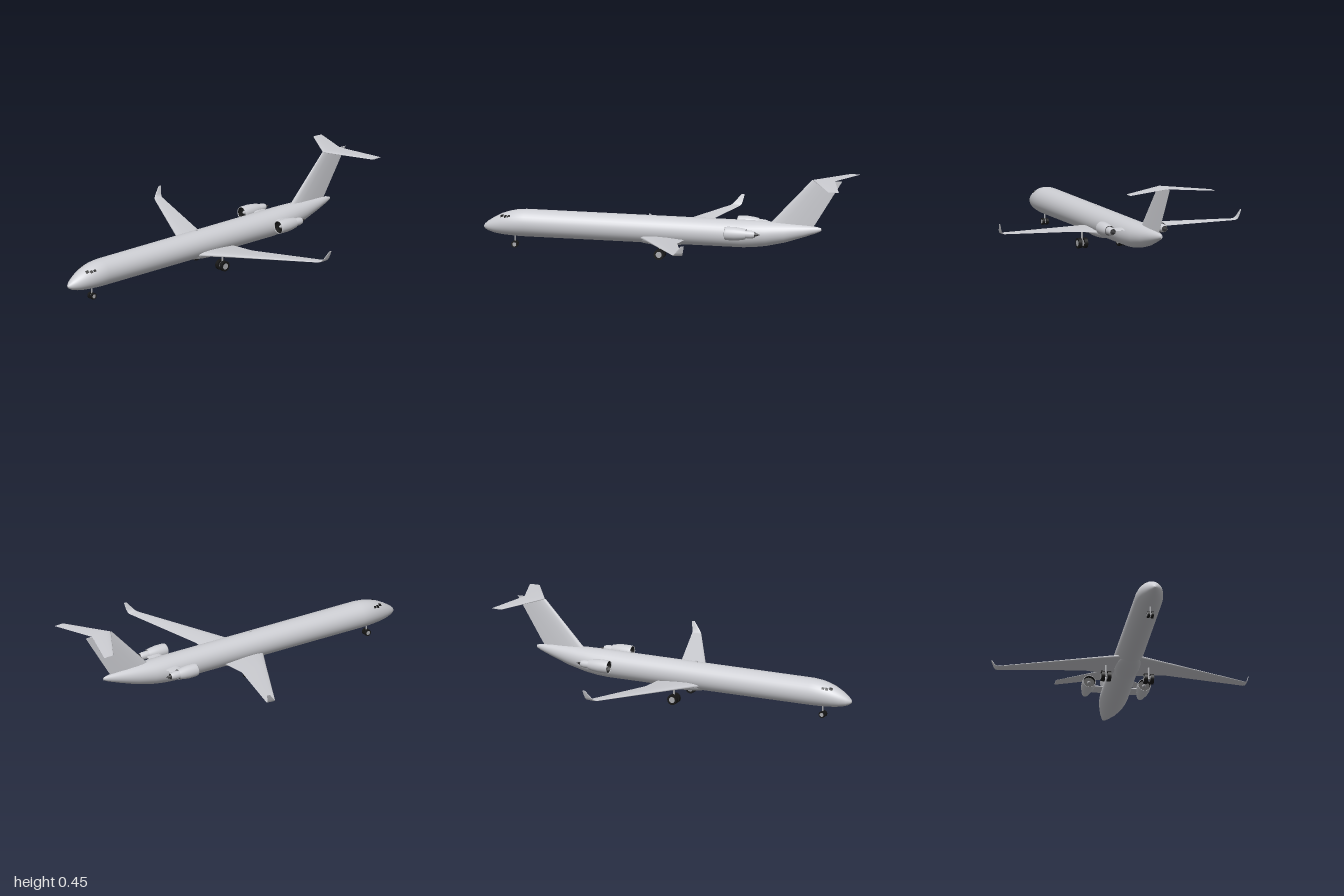
import * as THREE from 'three';

const mat = (name, color, side = THREE.FrontSide) => {
  const m = new THREE.MeshStandardMaterial({ color, side });
  m.name = name;
  return m;
};

// Skin over a list of closed rings, capped at both ends and turned outward
function loft(rings) {
  const n = rings[0].length, pos = [], idx = [];
  rings.forEach(r => r.forEach(p => pos.push(...p)));
  for (let i = 0; i < rings.length - 1; i++) {
    for (let j = 0; j < n; j++) {
      const a = i * n + j, b = i * n + (j + 1) % n;
      idx.push(a, b, a + n, b, b + n, a + n);
    }
  }
  const last = (rings.length - 1) * n;
  const capA = pos.length / 3;
  pos.push(...rings[0].flat());
  pos.push(...rings[rings.length - 1].flat());
  for (let j = 1; j < n - 1; j++) {
    idx.push(capA, capA + j + 1, capA + j);
    idx.push(capA + n, capA + n + j, capA + n + j + 1);
  }
  let volume = 0;
  const v = k => new THREE.Vector3().fromArray(pos, k * 3);
  for (let i = 0; i < idx.length; i += 3) volume += v(idx[i]).dot(v(idx[i + 1]).cross(v(idx[i + 2])));
  if (volume < 0) idx.reverse();
  const g = new THREE.BufferGeometry();
  g.setAttribute('position', new THREE.Float32BufferAttribute(pos, 3));
  g.setIndex(idx);
  g.computeVertexNormals();
  return g;
}

// Airfoil ring: leading edge z, trailing edge z, thickness t along direction (ux, uy)
const FOIL = [[0, 0], [0.03, 0.24], [0.12, 0.42], [0.3, 0.5], [0.6, 0.36], [0.85, 0.14], [1, 0.02],
  [1, -0.02], [0.85, -0.14], [0.6, -0.36], [0.3, -0.5], [0.12, -0.42], [0.03, -0.24]];
const foil = (x, y, le, te, t, ux = 0, uy = 1) =>
  FOIL.map(([c, h]) => [x + ux * h * t, y + uy * h * t, le + (te - le) * c]);

// Fuselage stations: z, bottom, top, half width
const BODY = [
  [1, 0.104, 0.11, 0.003], [0.993, 0.095, 0.122, 0.014], [0.975, 0.085, 0.138, 0.027],
  [0.94, 0.075, 0.161, 0.043], [0.9, 0.069, 0.182, 0.056], [0.86, 0.066, 0.196, 0.065],
  [0.82, 0.064, 0.205, 0.071], [0.77, 0.063, 0.21, 0.074], [0.3, 0.063, 0.21, 0.074],
  [-0.42, 0.063, 0.21, 0.074], [-0.48, 0.067, 0.21, 0.073], [-0.55, 0.077, 0.209, 0.067],
  [-0.65, 0.1, 0.206, 0.051], [-0.75, 0.133, 0.199, 0.031], [-0.82, 0.158, 0.192, 0.014],
  [-0.845, 0.17, 0.186, 0.006]];
const bodyPoint = (s, a, k = 1) =>
  [Math.cos(a) * s[3] * k, (s[1] + s[2]) / 2 + Math.sin(a) * (s[2] - s[1]) / 2 * k, s[0]];
const bodyAt = z => {
  const i = BODY.findIndex(s => s[0] <= z), a = BODY[i - 1], b = BODY[i];
  const t = (z - a[0]) / (b[0] - a[0]);
  return a.map((q, j) => q + (b[j] - q) * t);
};
const ring = s => Array.from({ length: 32 }, (_, i) => bodyPoint(s, i / 32 * Math.PI * 2));

export function createModel() {
  const paint = mat('pale grey paint', 0xcdced3, THREE.DoubleSide);
  const black = mat('black rubber and glass', 0x161616, THREE.DoubleSide);
  const metal = mat('grey metal', 0xa8a9ad, THREE.DoubleSide);
  const dark = mat('dark exhaust metal', 0x3c3c3e, THREE.DoubleSide);

  const model = new THREE.Group();
  model.name = 'airliner';
  const add = (name, geometry, material, parent = model, x = 0, y = 0, z = 0) => {
    const m = new THREE.Mesh(geometry, material);
    m.name = name;
    m.position.set(x, y, z);
    parent.add(m);
    return m;
  };
  const group = (name, x = 0, y = 0, z = 0) => {
    const g = new THREE.Group();
    g.name = name;
    g.position.set(x, y, z);
    model.add(g);
    return g;
  };

  add('fuselage', loft(BODY.map(ring)), paint);

  // Belly fairing between the wings
  const belly = new THREE.SphereGeometry(1, 28, 16);
  belly.scale(0.066, 0.04, 0.17);
  add('bellyFairing', belly, paint, model, 0, 0.092, 0.02);
  add('antenna', new THREE.BoxGeometry(0.003, 0.012, 0.012), paint, model, 0, 0.212, 0.09);

  // Fin, leaning back, with the tailplane on top
  const finRing = (y, le, te, t) => foil(0, y, le, te, t, 1, 0);
  add('fin', loft([finRing(0.175, -0.53, -0.79, 0.028), finRing(0.21, -0.575, -0.815, 0.027),
    finRing(0.445, -0.795, -0.96, 0.015)]), paint);
  add('tailplane', loft([foil(-0.24, 0.435, -0.942, -1, 0.004), foil(0, 0.445, -0.8, -0.92, 0.011),
    foil(0.24, 0.435, -0.942, -1, 0.004)]), paint);

  // Cockpit panes: front z, back z, lower and upper angle in degrees
  const PANES = [[0.902, 0.884, 46, 63], [0.88, 0.865, 37, 52], [0.861, 0.846, 37, 48]];

  // Lathe profiles as [radius, distance along the engine]
  const lathe = pts => new THREE.LatheGeometry(pts.map(p => new THREE.Vector2(...p)), 28).rotateX(Math.PI / 2);
  const wheel = (parent, x, y, r, w) => {
    add('tyre', new THREE.CylinderGeometry(r, r, w, 24).rotateZ(Math.PI / 2), black, parent, x, y, 0);
    add('hub', new THREE.CylinderGeometry(r * 0.6, r * 0.6, w + 0.002, 20).rotateZ(Math.PI / 2), metal, parent, x, y, 0);
  };

  for (const s of [1, -1]) {
    const side = s > 0 ? 'left' : 'right';

    // Wing with a kinked trailing edge, and its winglet
    add(side + 'Wing', loft([foil(0, 0.091, 0.165, -0.11, 0.028), foil(s * 0.074, 0.099, 0.125, -0.11, 0.026),
      foil(s * 0.22, 0.111, 0.045, -0.11, 0.017), foil(s * 0.66, 0.143, -0.19, -0.244, 0.006)]), paint);
    add(side + 'Winglet', loft([foil(s * 0.66, 0.143, -0.19, -0.244, 0.006),
      foil(s * 0.672, 0.148, -0.198, -0.247, 0.005, -s * 0.7, 0.7),
      foil(s * 0.68, 0.163, -0.212, -0.252, 0.004, -s, 0.2),
      foil(s * 0.69, 0.2, -0.243, -0.26, 0.003, -s, 0.2)]), paint);

    // Rear engine: cowl, fan, core and exhaust cone
    const engine = group(side + 'Engine', s * 0.148, 0.165, -0.47);
    add('cowl', lathe([[0.027, 0], [0.032, 0.025], [0.036, 0.06], [0.036, 0.1], [0.0345, 0.112],
      [0.0335, 0.115], [0.032, 0.112], [0.031, 0.09]]), paint, engine);
    add('inletLining', lathe([[0.0318, 0.111], [0.0305, 0.09]]), black, engine);
    add('fan', new THREE.CircleGeometry(0.031, 28), black, engine, 0, 0, 0.092);
    add('spinner', lathe([[0.011, 0.092], [0.008, 0.1], [0.0005, 0.108]]), metal, engine);
    add('bypassDuct', new THREE.CircleGeometry(0.028, 28).rotateY(Math.PI), dark, engine, 0, 0, 0.006);
    add('core', lathe([[0.016, -0.048], [0.021, -0.03], [0.022, 0.02]]), paint, engine);
    add('exhaust', new THREE.CircleGeometry(0.0165, 24).rotateY(Math.PI), dark, engine, 0, 0, -0.046);
    add('exhaustCone', lathe([[0.0005, -0.075], [0.006, -0.062], [0.01, -0.045]]), dark, engine);
    add(side + 'Pylon', loft([foil(s * 0.05, 0.165, -0.41, -0.495, 0.014),
      foil(s * 0.125, 0.165, -0.41, -0.49, 0.014)]), paint);

    // Main landing gear
    const gear = group(side + 'MainGear', s * 0.115, 0, 0.01);
    add('strut', new THREE.CylinderGeometry(0.005, 0.005, 0.08, 14), metal, gear, 0, 0.065, 0);
    add('axle', new THREE.CylinderGeometry(0.004, 0.004, 0.04, 12).rotateZ(Math.PI / 2), metal, gear, 0, 0.028, 0);
    for (const d of [-1, 1]) wheel(gear, d * 0.0165, 0.028, 0.028, 0.019);

    // Cockpit panes follow the nose just above its skin
    for (const [z0, z1, a0, a1] of PANES) {
      const pane = new THREE.PlaneGeometry(1, 1, 6, 6), p = pane.attributes.position;
      for (let i = 0; i < p.count; i++) {
        const a = THREE.MathUtils.degToRad(a0 + (a1 - a0) * (p.getY(i) + 0.5));
        const q = bodyPoint(bodyAt(z0 + (z1 - z0) * (p.getX(i) + 0.5)), a, 1.025);
        p.setXYZ(i, s * q[0], q[1], q[2]);
      }
      if (s < 0) pane.index.array.reverse();
      pane.computeVertexNormals();
      add(side + 'CockpitWindow', pane, black);
    }
  }

  // Nose landing gear
  const nose = group('noseGear', 0, 0, 0.83);
  add('strut', new THREE.CylinderGeometry(0.004, 0.004, 0.06, 14), metal, nose, 0, 0.048, 0);
  add('axle', new THREE.CylinderGeometry(0.003, 0.003, 0.024, 12).rotateZ(Math.PI / 2), metal, nose, 0, 0.018, 0);
  for (const d of [-1, 1]) wheel(nose, d * 0.0105, 0.018, 0.018, 0.013);

  return model;
}
